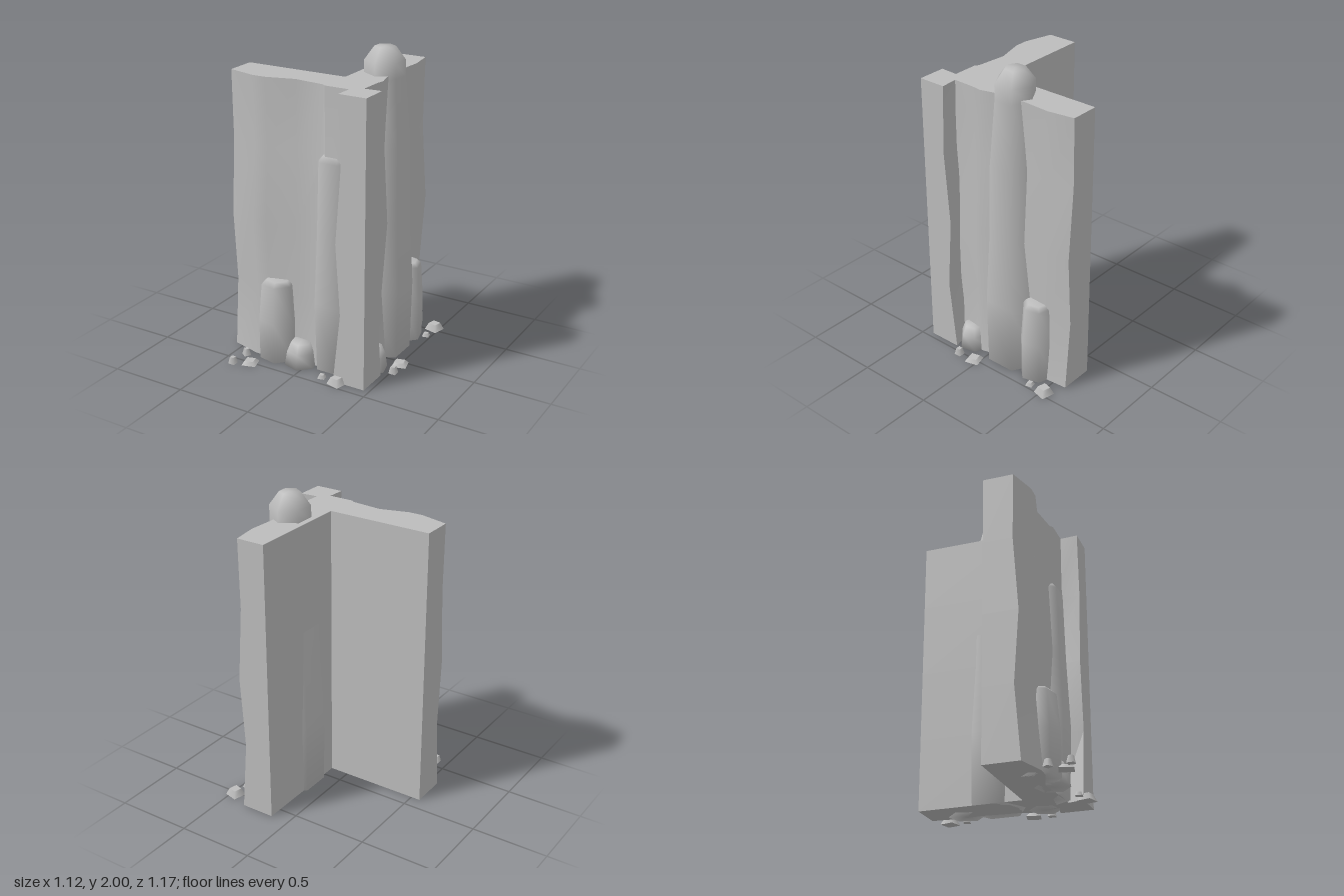
import * as THREE from 'three';
import { toCreasedNormals } from 'three/addons/utils/BufferGeometryUtils.js';

const stone = new THREE.MeshStandardMaterial({ color: 0xbcbcbc });
stone.name = 'grey stone';

// Heights of the rows, and how far the rock bulges at each of them
const LEVELS = [0, 0.46, 0.92, 1.4, 1.84];
const BULGE = [0.042, 0.004, 0.034, 0, 0.006];

// Closed solid through rings of [x, z], listed anticlockwise from above
function loft(rings, heights, crease) {
  const n = rings[0].length;
  const positions = [];
  const index = [];
  rings.forEach((ring, r) => ring.forEach(([x, z]) => positions.push(x, heights[r], z)));
  for (let r = 0; r < rings.length - 1; r++) {
    for (let i = 0; i < n; i++) {
      const a = r * n + i;
      const b = r * n + ((i + 1) % n);
      index.push(a, b, b + n, a, b + n, a + n);
    }
  }
  const cap = (ring, base, up) => {
    const outline = ring.map(([x, z]) => new THREE.Vector2(x, -z));
    for (const [a, b, c] of THREE.ShapeUtils.triangulateShape(outline, [])) {
      if (up) index.push(base + a, base + b, base + c);
      else index.push(base + a, base + c, base + b);
    }
  };
  cap(rings[0], 0, false);
  cap(rings[rings.length - 1], n * (rings.length - 1), true);
  const geometry = new THREE.BufferGeometry();
  geometry.setAttribute('position', new THREE.Float32BufferAttribute(positions, 3));
  geometry.setIndex(index);
  return toCreasedNormals(geometry, crease);
}

export function createModel() {
  const model = new THREE.Group();
  model.name = 'rockCorner';

  const add = (geometry, name, x = 0, y = 0, z = 0, turn = 0) => {
    const mesh = new THREE.Mesh(geometry, stone);
    mesh.name = name;
    mesh.position.set(x, y, z);
    mesh.rotation.y = turn;
    model.add(mesh);
  };

  // L-shaped cliff wall: x, z, then the direction in which the face bulges
  const outline = [
    [-0.56, 0.28, 0, 1], [-0.37, 0.33, 0, 1], [-0.28, 0.328, 0, 1],
    [-0.1, 0.28, 0, 0.7], [0.1, 0.3, 0, 0.6], [0.122, 0.318, 0, 0.3],
    [0.31, 0.318, 0, 0.3], [0.35, 0.28, 0.1, 0], [0.352, 0.12, 0.6, 0],
    [0.36, 0.06, 0.8, 0], [0.338, -0.02, 0.8, 0], [0.322, -0.25, 0.7, 0],
    [0.332, -0.42, 0.7, 0], [0.305, -0.59, 1, 0],
    [0.125, -0.59, 0, 0], [0.125, 0.09, 0, 0], [-0.56, 0.09, 0, 0],
  ];
  const wallRings = BULGE.map((b) =>
    outline.map(([x, z, dx, dz]) => [x + dx * b, z + dz * b]));
  add(loft(wallRings, LEVELS, 0.55), 'cliffWall');

  // Corner post whose two inner edges waver with height
  const postEdge = [0.245, 0.295, 0.262, 0.298, 0.28];
  const postRings = postEdge.map((e) => [
    [e, 0.435], [0.463, 0.435], [0.463, e - 0.025], [0.288, 0.268],
  ]);
  add(loft(postRings, LEVELS, 0.3), 'cornerPost');

  // Six-sided rock columns, smooth around
  const column = (radii, heights) => {
    const profile = [new THREE.Vector2(0, 0)];
    radii.forEach((r, i) => profile.push(new THREE.Vector2(r, heights[i])));
    profile.push(new THREE.Vector2(0, heights[heights.length - 1]));
    return new THREE.LatheGeometry(profile, 6);
  };
  add(column([0.19, 0.198, 0.172, 0.162, 0.126, 0.126, 0.065],
    [0, 0.46, 0.92, 1.4, 1.82, 1.915, 2]), 'tallColumn', 0.27, 0, -0.13);
  add(column([0.143, 0.158, 0.138, 0.126, 0.085],
    [0, 0.46, 0.92, 1.375, 1.42]), 'frontColumn', 0.155, 0, 0.235, Math.PI / 6);

  // Short boulders against the foot of the wall: x, z, radius, height, turn
  const boulders = [
    [-0.228, 0.315, 0.128, 0.54, 0.3],
    [-0.048, 0.335, 0.108, 0.155, 0.25],
    [0.335, -0.355, 0.115, 0.54, 0.25],
    [0.365, 0.155, 0.1, 0.155, 0.25],
  ];
  boulders.forEach(([x, z, r, h, turn]) => {
    const low = h < 0.3;
    const radii = low ? [r, r * 0.86, r * 0.62] : [r * 0.99, r, r * 0.84, r * 0.6];
    const heights = low ? [0, h * 0.6, h] : [0, h * 0.5, h * 0.95, h];
    add(column(radii, heights), 'boulder', x, 0, z, turn);
  });

  // Loose pebbles: x, z, width, height, turn
  const pebbles = [
    [0.47, -0.52, 0.09, 0.045, -0.25], [0.465, -0.403, 0.045, 0.022, 0.2],
    [0.502, 0.035, 0.09, 0.024, 0.25], [0.515, 0.15, 0.046, 0.045, 0],
    [-0.41, 0.425, 0.044, 0.045, -0.6], [-0.325, 0.506, 0.09, 0.024, 0.28],
    [-0.42, 0.562, 0.044, 0.045, 0], [0.163, 0.432, 0.044, 0.024, 0.2],
    [0.28, 0.447, 0.09, 0.045, -0.25],
  ];
  pebbles.forEach(([x, z, w, h, turn]) => {
    const r = w * Math.SQRT1_2;
    add(new THREE.CylinderGeometry(r * 0.6, r, h, 4), 'pebble', x, h / 2, z, turn + Math.PI / 4);
  });

  return model;
}
